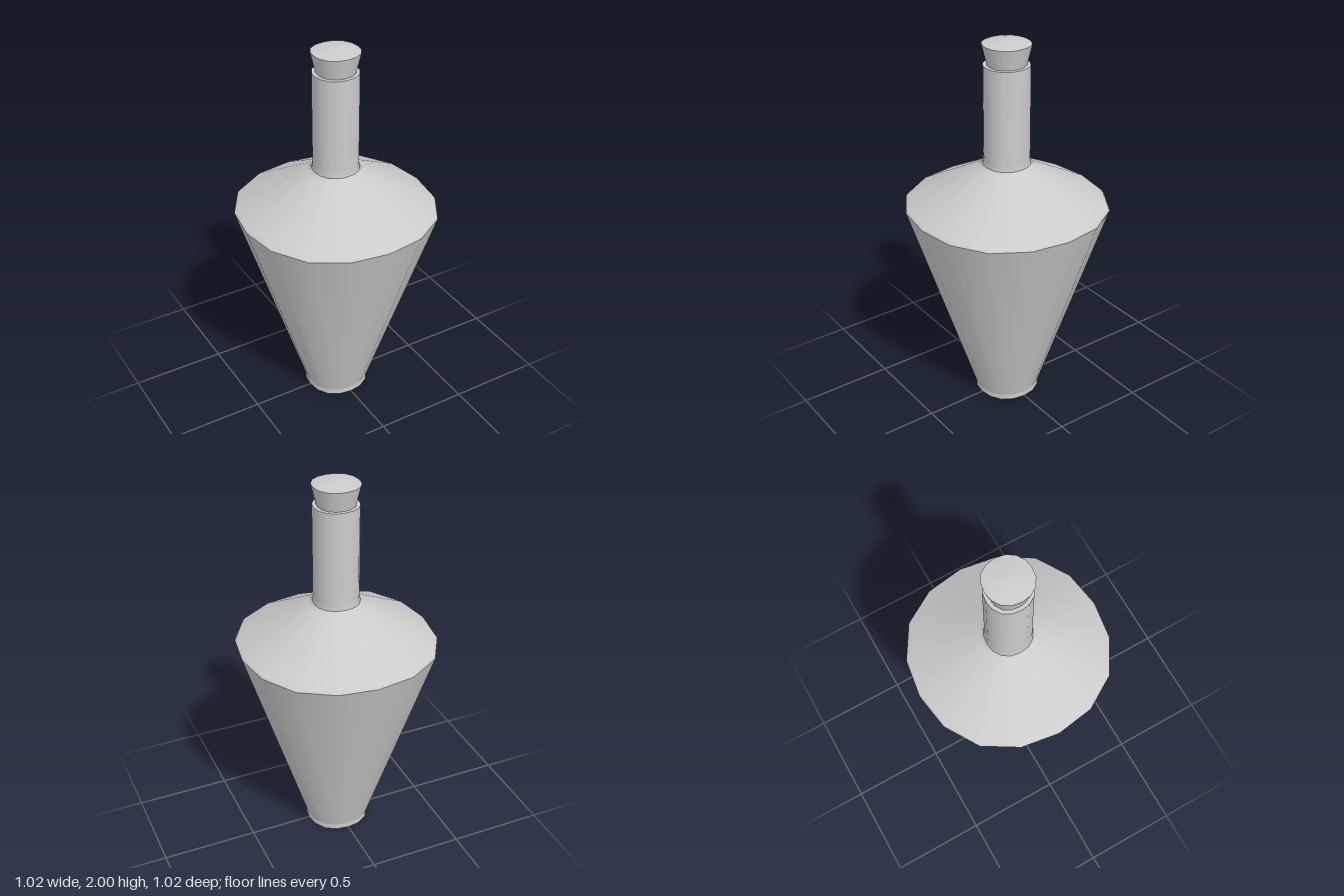
import * as THREE from 'three';

const material = new THREE.MeshStandardMaterial({ color: 0xcccccc });

// Sixteen-sided turned surface, slightly fuller on the diagonals
function turned(name, profile) {
  const geometry = new THREE.LatheGeometry(profile.map(([r, y]) => new THREE.Vector2(r, y)), 16);
  const p = geometry.attributes.position;
  for (let i = 0; i < p.count; i++) {
    const x = p.getX(i), z = p.getZ(i);
    const swell = 1 + 0.036 * Math.sin(2 * Math.atan2(x, z)) ** 2;
    p.setX(i, x * swell);
    p.setZ(i, z * swell);
  }
  const mesh = new THREE.Mesh(geometry, material);
  mesh.name = name;
  return mesh;
}

export function createModel() {
  const bottle = new THREE.Group();
  bottle.name = 'bottle';

  // Each profile runs upward or inward; separate parts keep the edges sharp
  bottle.add(
    turned('base', [[0, 0], [0.167, 0]]),
    turned('foot', [[0.167, 0], [0.167, 0.03]]),
    turned('body', [[0.167, 0.03], [0.505, 1.11], [0.511, 1.13]]),
    turned('shoulder', [[0.511, 1.13], [0.5, 1.145], [0.14, 1.34], [0.12, 1.36]]),
    turned('neck', [[0.12, 1.36], [0.115, 1.39], [0.115, 1.88]]),
    turned('neckRim', [[0.115, 1.88], [0, 1.88]]),
    turned('stopper', [[0.095, 1.875], [0.12, 1.985]]),
    turned('stopperTop', [[0.12, 1.985], [0.06, 1.996], [0, 2]]),
  );
  return bottle;
}
